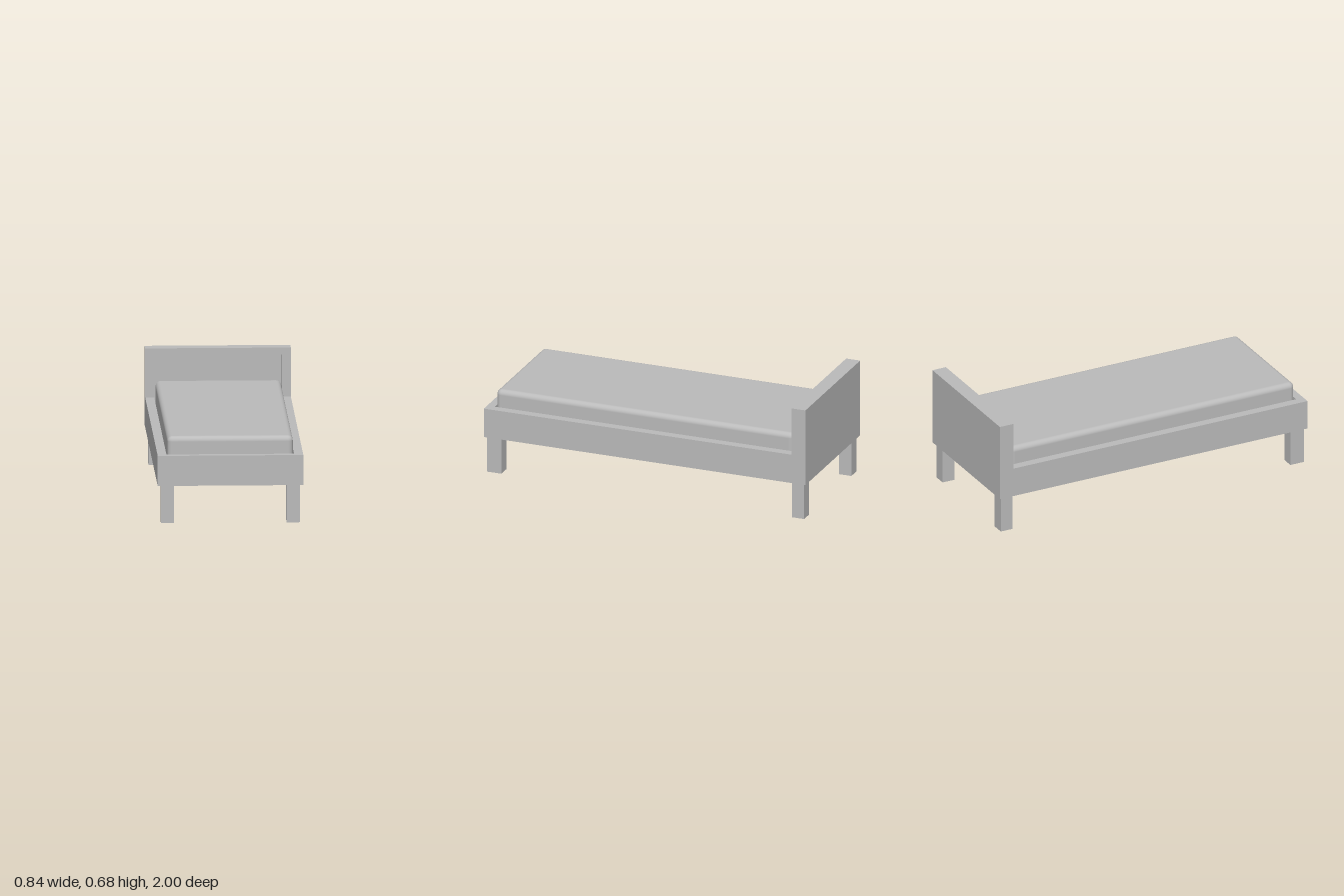
import * as THREE from 'three';
import { RoundedBoxGeometry } from 'three/addons/geometries/RoundedBoxGeometry.js';

export function createModel() {
  const bed = new THREE.Group();
  bed.name = 'bed';
  const grey = new THREE.MeshStandardMaterial({ color: 0xbbbbbb, side: THREE.DoubleSide });
  grey.name = 'plain grey';

  function add(name, geometry, x, y, z) {
    const mesh = new THREE.Mesh(geometry, grey);
    mesh.name = name;
    mesh.position.set(x, y, z);
    bed.add(mesh);
    return mesh;
  }
  // Box given by its lower and upper limits on each axis
  function block(name, [x0, x1], [y0, y1], [z0, z1]) {
    return add(name, new THREE.BoxGeometry(x1 - x0, y1 - y0, z1 - z0),
      (x0 + x1) / 2, (y0 + y1) / 2, (z0 + z1) / 2);
  }

  const W = 0.42, inner = 0.368, bottom = 0.22, rim = 0.396, top = 0.683;
  const headFront = -0.913;

  // Bed frame: outer rails around a sunken base
  block('base', [-inner, inner], [bottom, 0.34], [headFront, 0.953]);
  block('footRail', [-W, W], [bottom, rim], [0.953, 1]);
  for (const side of [1, -1]) {
    const xs = [side * inner, side * W].sort((a, b) => a - b);
    block(side > 0 ? 'leftRail' : 'rightRail', xs, [bottom, rim], [headFront, 0.953]);
  }

  // Headboard: a raised border, open at the bottom, with a recessed panel
  const border = new THREE.Shape([
    [-W, bottom], [-inner, bottom], [-inner, 0.641], [inner, 0.641],
    [inner, bottom], [W, bottom], [W, top], [-W, top],
  ].map(([x, y]) => new THREE.Vector2(x, y)));
  add('headboardBorder',
    new THREE.ExtrudeGeometry(border, { depth: 1 + headFront, bevelEnabled: false }), 0, 0, -1);
  block('headboardPanel', [-inner, inner], [bottom, 0.641], [-1, -0.943]);

  // Mattress with softly rounded edges
  add('mattress', new RoundedBoxGeometry(0.724, 0.198, 1.85, 5, 0.03), 0, 0.4, 0.024);

  // Square legs, hollow from below
  for (const x of [0.3625, -0.3625]) {
    for (const z of [0.943, -0.946]) {
      const tube = new THREE.CylinderGeometry(Math.SQRT1_2, Math.SQRT1_2, 1, 4, 1, true)
        .rotateY(Math.PI / 4).toNonIndexed();
      tube.scale(0.076, bottom, z > 0 ? 0.088 : 0.076);
      tube.computeVertexNormals();
      add((z > 0 ? 'front' : 'back') + (x > 0 ? 'Left' : 'Right') + 'Leg', tube, x, bottom / 2, z);
    }
  }
  return bed;
}
